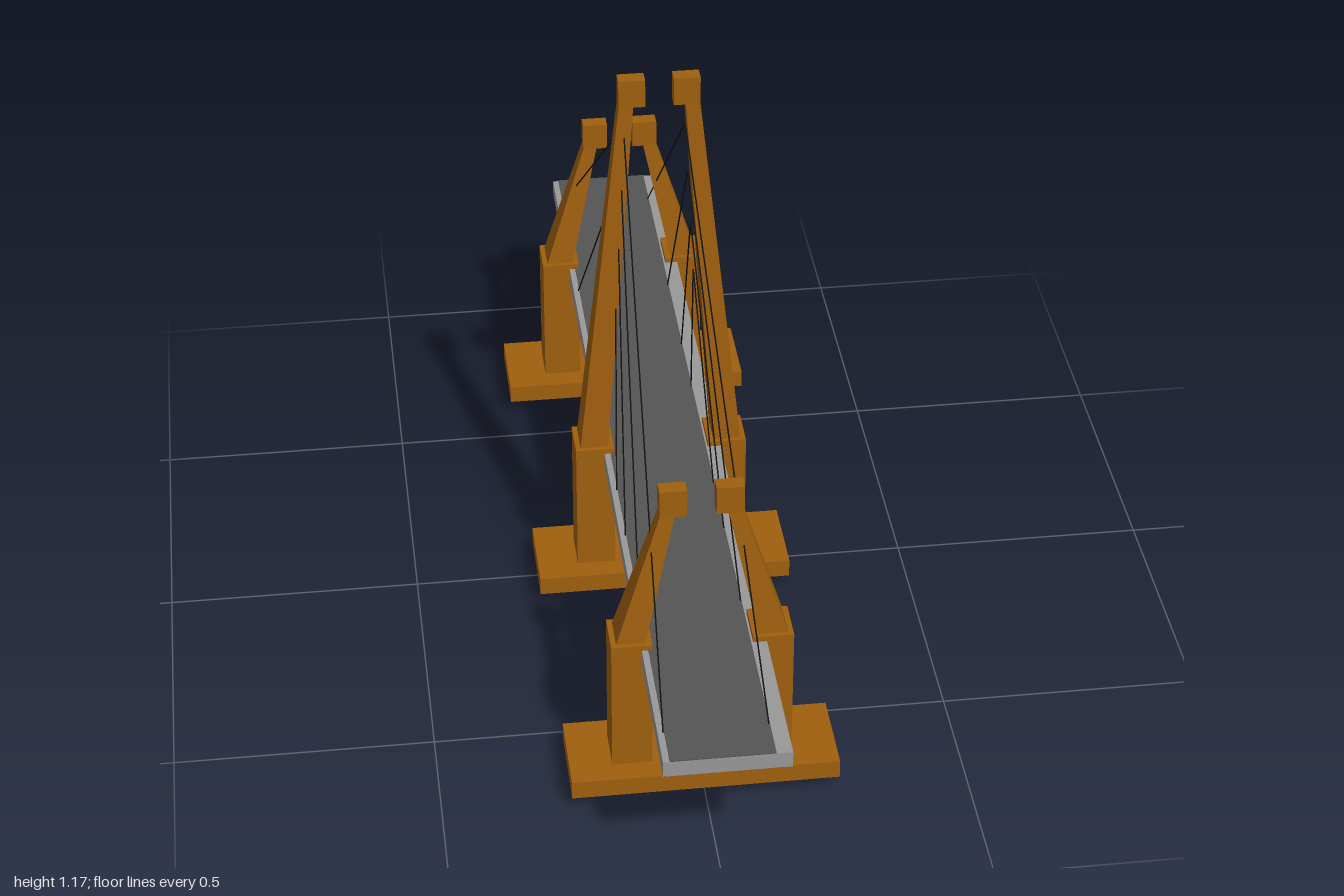
import * as THREE from 'three';

const mat = (color) => new THREE.MeshStandardMaterial({ color, flatShading: true });
const brown = mat(0xa0600f), grey = mat(0x999999), asphalt = mat(0x555555), black = mat(0x111111);

function add(parent, name, geometry, material) {
  const mesh = new THREE.Mesh(geometry, material);
  mesh.name = name;
  parent.add(mesh);
  return mesh;
}

// Box given by its extents on each axis
function block(x0, x1, y0, y1, z0, z1) {
  return new THREE.BoxGeometry(x1 - x0, y1 - y0, z1 - z0)
    .translate((x0 + x1) / 2, (y0 + y1) / 2, (z0 + z1) / 2);
}

// Leaning, tapering shaft: a box whose bottom and top are [x0, x1, half depth]
function shaft(y0, bottom, y1, top) {
  const g = new THREE.BoxGeometry(1, 1, 1);
  const p = g.attributes.position;
  for (let i = 0; i < p.count; i++) {
    const up = p.getY(i) > 0;
    const [x0, x1, d] = up ? top : bottom;
    p.setXYZ(i, p.getX(i) > 0 ? x1 : x0, up ? y1 : y0, p.getZ(i) > 0 ? d : -d);
  }
  g.computeVertexNormals();
  return g;
}

// One leg; the opposite side is the same leg turned half round
function leg(name, height) {
  const g = new THREE.Group();
  g.name = name;
  add(g, 'pier', block(0.094, 0.171, 0, 0.345, -0.043, 0.043), brown);
  add(g, 'shaft', shaft(0.345, [0.106, 0.161, 0.034], height - 0.057, [0.05, 0.078, 0.015]), brown);
  add(g, 'head', block(0.027, 0.078, height - 0.057, height, -0.015, 0.015), brown);
  return g;
}

function tower(name, z, height) {
  const g = new THREE.Group();
  g.name = name;
  g.position.z = z;
  add(g, 'footing', block(-0.255, 0.255, 0.027, 0.065, -0.087, 0.087), brown);
  const left = leg('leftLeg', height), right = leg('rightLeg', height);
  right.rotation.y = Math.PI;
  left.position.x = right.position.x = -0.003;
  g.add(left, right);
  return g;
}

// Thin straight cable between two points
function cable(a, b) {
  return new THREE.TubeGeometry(new THREE.LineCurve3(a, b), 1, 0.0015, 5, false);
}

export function createModel() {
  const model = new THREE.Group();
  model.name = 'cableStayedBridge';

  // Deck with pale edges, dark road and dark underside
  const deck = new THREE.Group();
  deck.name = 'deck';
  add(deck, 'slab', block(-0.117, 0.117, 0.301, 0.334, -1, 1), grey);
  add(deck, 'road', block(-0.105, 0.087, 0.333, 0.336, -1, 1), asphalt);
  add(deck, 'underside', block(-0.116, 0.116, 0.3, 0.302, -0.999, 0.999), asphalt);
  model.add(deck);

  // Towers
  model.add(tower('frontTower', 0.64, 0.672));
  model.add(tower('mainTower', 0.012, 1.167));
  model.add(tower('backTower', -0.676, 0.672));

  // Cables fan from the main tower to both deck edges: [tower y, front z, back z]
  const stays = [[1.06, 0.92, -0.9], [0.955, 0.56, -0.545], [0.84, 0.33, -0.315], [0.73, 0.18, -0.16]];
  const cables = new THREE.Group();
  cables.name = 'cables';
  for (const side of [-1, 1]) {
    for (const [y, front, back] of stays) {
      const topX = -0.011 + side * (0.059 + (1.06 - y) * 0.052);
      for (const z of [front, back]) {
        const top = new THREE.Vector3(topX, y, 0.01);
        const end = new THREE.Vector3(-0.011 + side * 0.096, 0.335, z);
        add(cables, 'cable', cable(top, end), black);
      }
    }
  }
  model.add(cables);
  return model;
}
